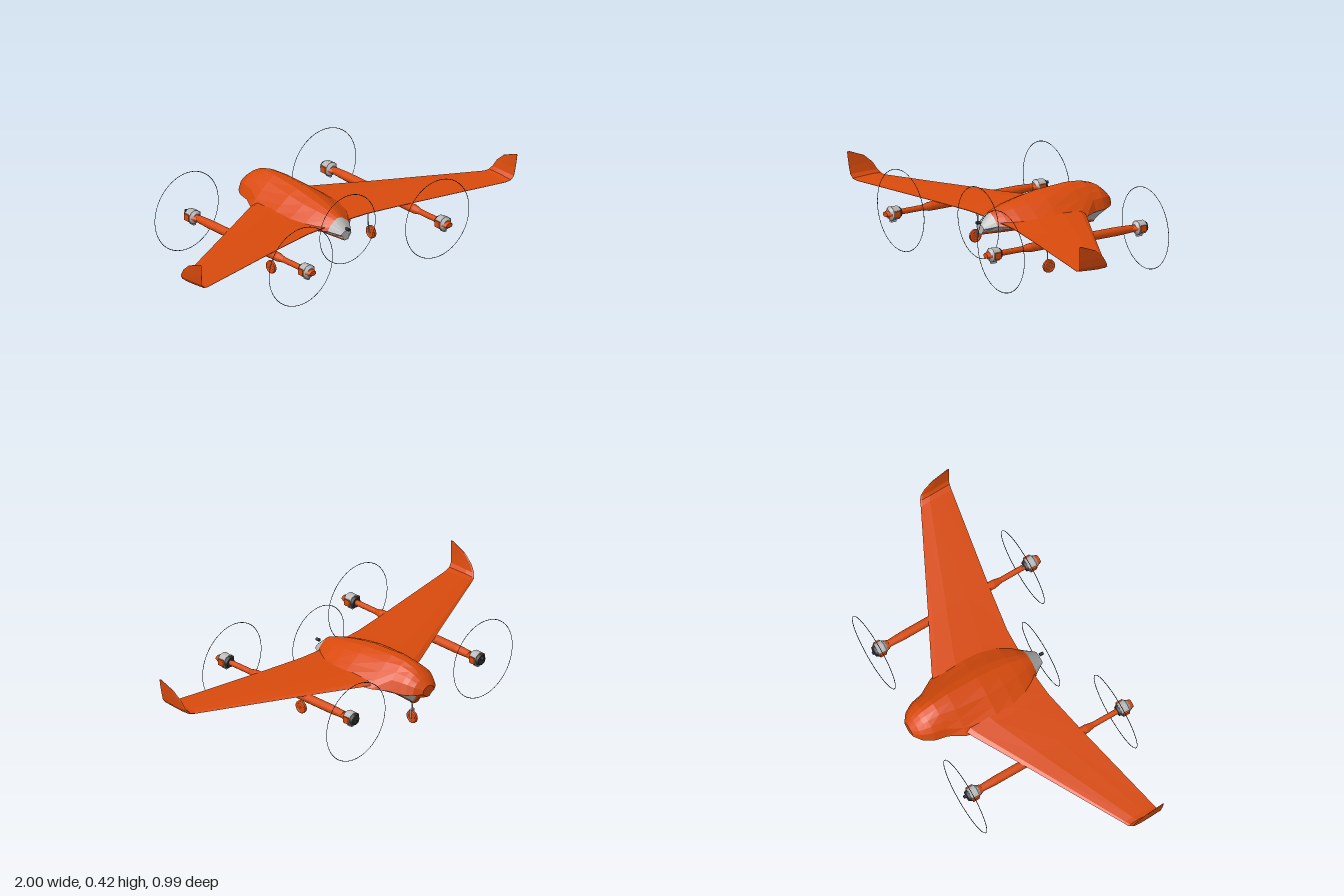
import * as THREE from 'three';

const paint = (name, color) => {
  const m = new THREE.MeshStandardMaterial({ color });
  m.name = name;
  return m;
};

export function createModel() {
  const orange = paint('orange', 0xd84a0c);
  const grey = paint('light grey', 0xb8b8b8);
  const dark = paint('dark grey', 0x2c2e30);
  const model = new THREE.Group();
  model.name = 'tiltlessDrone';

  const add = (name, geo, mat, parent = model) => {
    const mesh = new THREE.Mesh(geo, mat);
    mesh.name = name;
    parent.add(mesh);
    return mesh;
  };

  // Faceted skin through cross-sections; closed loops can be capped
  function loft(sections, closed = false, capStart = false, capEnd = false) {
    const pos = [];
    const tri = (...pts) => pts.forEach((p) => pos.push(p[0], p[1], p[2]));
    const n = sections[0].length;
    for (let i = 0; i < sections.length - 1; i++) {
      for (let j = 0; j < (closed ? n : n - 1); j++) {
        const k = (j + 1) % n;
        const a = sections[i][j], b = sections[i][k];
        const c = sections[i + 1][k], d = sections[i + 1][j];
        tri(a, b, d);
        tri(b, c, d);
      }
    }
    const last = sections[sections.length - 1];
    for (let j = 1; j < n - 1; j++) {
      if (capStart) tri(sections[0][0], sections[0][j + 1], sections[0][j]);
      if (capEnd) tri(last[0], last[j], last[j + 1]);
    }
    const g = new THREE.BufferGeometry();
    g.setAttribute('position', new THREE.Float32BufferAttribute(pos, 3));
    g.computeVertexNormals();
    return g;
  }

  // Fuselage stations: z, half width, top, middle, bottom, flare, keel half width
  const stations = [
    [-0.495, 0.04, 0.262, 0.228, 0.205, 0, 0.015],
    [-0.465, 0.08, 0.293, 0.226, 0.192, 0, 0.02],
    [-0.435, 0.1, 0.318, 0.225, 0.178, 0.1, 0.022],
    [-0.41, 0.112, 0.332, 0.225, 0.14, 0.15, 0.024],
    [-0.35, 0.125, 0.35, 0.225, 0.146, 0.3, 0.03],
    [-0.27, 0.17, 0.355, 0.225, 0.152, 0.6, 0.035],
    [-0.1, 0.205, 0.343, 0.225, 0.164, 0.7, 0.04],
    [0.0, 0.195, 0.325, 0.225, 0.169, 0.7, 0.04],
    [0.08, 0.155, 0.308, 0.225, 0.173, 0.6, 0.036],
    [0.14, 0.11, 0.291, 0.224, 0.175, 0.5, 0.032],
    [0.18, 0.07, 0.276, 0.222, 0.177, 0.4, 0.028],
    [0.235, 0.032, 0.225, 0.208, 0.178, 0.2, 0.02],
  ];
  const upper = ([z, w, top, mid, , flare]) =>
    [1, 0.82, 0.6, 0.35, 0.12, -0.12, -0.35, -0.6, -0.82, -1].map((u) => {
      const round = Math.sqrt(1 - u * u);
      const bell = Math.cos((u * Math.PI) / 2) ** 2;
      return [u * w, mid + (top - mid) * (round + (bell - round) * flare), z];
    });
  const keelEdge = (bot, mid) => bot + Math.min(0.014, (mid - bot) * 0.4);
  const belly = (s) => ([z, w, , mid, bot, , k]) => {
    const e = keelEdge(bot, mid);
    const pts = [[-w, mid, z], [-w * 0.65, mid - (mid - e) * 0.45, z], [-k, e, z]];
    return s < 0 ? pts : pts.map(([x, y, q]) => [-x, y, q]).reverse();
  };
  const keel = ([z, , , mid, bot, , k]) => {
    const e = keelEdge(bot, mid);
    return [[-k, e, z], [-k * 0.6, bot, z], [k * 0.6, bot, z], [k, e, z]];
  };
  const body = new THREE.Group();
  body.name = 'fuselage';
  model.add(body);
  add('upperShell', loft(stations.slice(0, 11).map(upper)), orange, body);
  add('tailCone', loft(stations.slice(10).map(upper)), grey, body);
  for (const s of [-1, 1]) add('bellyPanel', loft(stations.map(belly(s))), grey, body);
  add('keel', loft(stations.map(keel)), orange, body);
  // End plates closing the nose and tail
  const ring = (st) => [...upper(st), ...belly(-1)(st).slice(1), ...keel(st).slice(1, 3), ...belly(1)(st).slice(0, 2)];
  const plate = (st, dz) => {
    const a = ring(st);
    return loft([a, a.map(([x, y, z]) => [x, y, z + dz])], true, true, true);
  };
  add('nosePlate', plate(stations[0], 0.002), orange, body);
  add('tailPlate', plate([...stations[11]], -0.002), grey, body);

  // Wing stations for one half: x, leading z, trailing z, y, thickness, bend angle
  const half = [
    [0.1, -0.29, 0.165, 0.238, 0.05, 0],
    [0.19, -0.252, 0.17, 0.238, 0.04, 0],
    [0.43, -0.125, 0.212, 0.236, 0.026, 0],
    [0.94, 0.14, 0.312, 0.231, 0.018, 0],
    [0.968, 0.152, 0.318, 0.237, 0.016, 0.5],
    [0.983, 0.165, 0.322, 0.256, 0.014, 1.2],
    [0.989, 0.19, 0.326, 0.295, 0.011, 1.4],
    [0.993, 0.24, 0.33, 0.335, 0.008, 1.45],
    [0.996, 0.305, 0.332, 0.366, 0.005, 1.45],
  ];
  half[7][1] = 0.237;
  half[8][1] = 0.318;
  const foil = [[0, 0], [0.06, 0.32], [0.3, 0.5], [0.65, 0.3], [1, 0.04], [1, -0.04], [0.6, -0.3], [0.3, -0.42], [0.06, -0.3]];
  const wingSection = (side) => ([x, z0, z1, y, t, bend]) =>
    foil.map(([c, h]) => [side * (x - Math.sin(bend) * h * t), y + Math.cos(bend) * h * t, z0 + (z1 - z0) * c]);
  const span = [...half.map(wingSection(-1)).reverse(), ...half.map(wingSection(1))];
  add('wing', loft(span, true, true, true), orange);

  // Cylinder lying along z, from z0 (radius r0) to z1 (radius r1)
  const rod = (r0, r1, z0, z1, sides = 12) =>
    new THREE.CylinderGeometry(r1, r0, z1 - z0, sides).rotateX(Math.PI / 2).translate(0, 0, (z0 + z1) / 2);

  // Thin circle swept by each propeller
  const rotor = (x, y, z, r) => {
    add('rotorRing', new THREE.TorusGeometry(r, 0.0016, 4, 64), dark).position.set(x, y, z);
    add('rotorHub', rod(0.008, 0.008, -0.008, 0.012), dark).position.set(x, y, z);
  };
  rotor(0, 0.237, 0.245, 0.175);

  // Motor pod: dark rear disc, grey barrel, orange cheeks and cap
  const motor = (parent, z) => {
    const pod = new THREE.Group();
    pod.name = 'motorPod';
    pod.position.z = z;
    parent.add(pod);
    add('motorDisc', rod(0.025, 0.031, -0.037, -0.024), dark, pod);
    add('motorBarrel', rod(0.034, 0.036, -0.024, 0.016, 10), grey, pod);
    add('motorShoulder', rod(0.035, 0.022, 0.016, 0.03, 10), grey, pod);
    add('motorCap', rod(0.034, 0.02, 0.012, 0.046, 10).scale(1, 0.6, 1), orange, pod);
    for (const s of [-1, 1])
      add('motorCheek', new THREE.BoxGeometry(0.008, 0.032, 0.034), orange, pod).position.set(s * 0.033, 0, -0.004);
    add('motorFin', new THREE.BoxGeometry(0.014, 0.014, 0.03), grey, pod).position.set(0, -0.036, 0);
  };

  const wheel = (parent, x, y, z) => {
    add('tyre', new THREE.CylinderGeometry(0.032, 0.032, 0.012, 24).rotateZ(Math.PI / 2), orange, parent).position.set(x, y, z);
    add('tyreTread', new THREE.TorusGeometry(0.025, 0.008, 8, 24).rotateY(Math.PI / 2), orange, parent).position.set(x, y, z);
    add('axle', new THREE.CylinderGeometry(0.004, 0.004, 0.024, 8).rotateZ(Math.PI / 2), grey, parent).position.set(x, y, z);
  };
  const strut = (parent, pts, r = 0.003) => {
    const path = new THREE.CatmullRomCurve3(pts.map((p) => new THREE.Vector3(...p)), false, 'catmullrom', 0.2);
    add('strut', new THREE.TubeGeometry(path, 24, r, 6), grey, parent);
  };

  for (const s of [-1, 1]) {
    // Lift boom with a thicker sleeve under the wing
    const boom = new THREE.Group();
    boom.name = s > 0 ? 'leftBoom' : 'rightBoom';
    boom.position.set(s * 0.43, 0.214, 0);
    model.add(boom);
    add('boomTube', rod(0.014, 0.014, -0.4, 0.42), orange, boom);
    add('boomSleeve', rod(0.022, 0.022, -0.27, 0.24), orange, boom);
    add('sleeveRear', rod(0.018, 0.022, -0.35, -0.27), orange, boom);
    add('sleeveFront', rod(0.022, 0.014, 0.24, 0.28), orange, boom);
    motor(boom, 0.447);
    motor(boom, -0.393);
    rotor(s * 0.43, 0.22, 0.403, 0.2);
    rotor(s * 0.43, s > 0 ? 0.205 : 0.225, s > 0 ? -0.43 : -0.438, 0.2);

    // Main landing gear
    const gear = new THREE.Group();
    gear.name = s > 0 ? 'leftGear' : 'rightGear';
    model.add(gear);
    strut(gear, [[s * 0.295, 0.23, 0.05], [s * 0.296, 0.17, 0.049], [s * 0.3, 0.11, 0.047], [s * 0.302, 0.065, 0.05]]);
    add('strutMount', new THREE.SphereGeometry(0.009, 10, 8), grey, gear).position.set(s * 0.295, 0.177, 0.05);
    wheel(gear, s * 0.315, 0.065, 0.05);
  }

  // Nose gear with cranked strut and fork
  const noseGear = new THREE.Group();
  noseGear.name = 'noseGear';
  model.add(noseGear);
  strut(noseGear, [[0, 0.155, -0.365], [0, 0.135, -0.367], [0, 0.128, -0.385], [0, 0.09, -0.386]]);
  for (const s of [-1, 1])
    add('fork', new THREE.BoxGeometry(0.003, 0.045, 0.01), grey, noseGear).position.set(s * 0.011, 0.073, -0.385);
  add('forkBridge', new THREE.BoxGeometry(0.025, 0.004, 0.01), grey, noseGear).position.set(0, 0.095, -0.385);
  wheel(noseGear, 0, 0.055, -0.385);

  return model;
}
